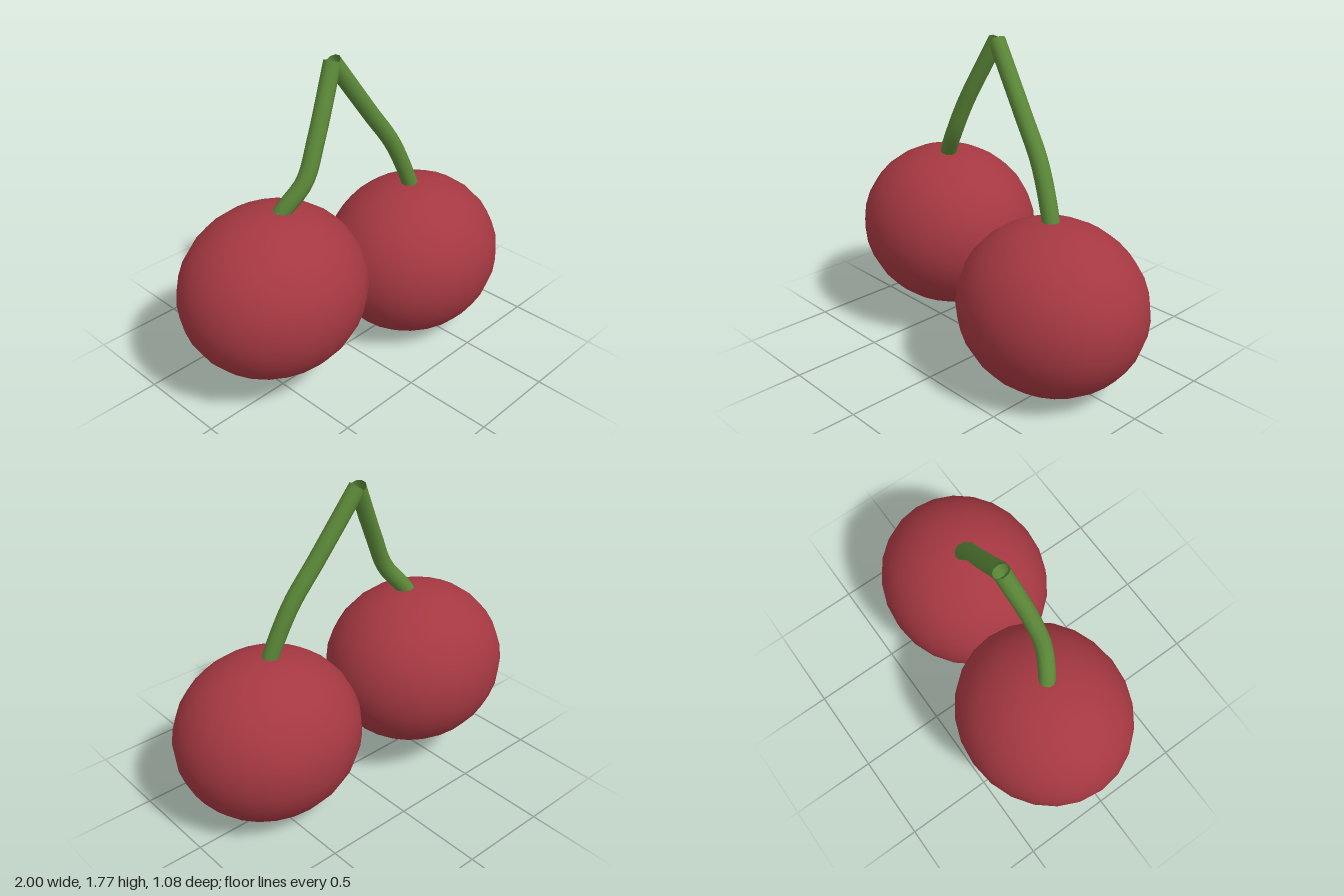
import * as THREE from 'three';

export function createModel() {
  const model = new THREE.Group();
  model.name = 'cherryPair';

  const red = new THREE.MeshStandardMaterial({ color: 0xa53841 });
  red.name = 'cherryRed';
  // stems are open at the tip, so both faces show
  const green = new THREE.MeshStandardMaterial({ color: 0x5b8838, side: THREE.DoubleSide });
  green.name = 'stemGreen';

  // fruit: slightly flattened spheres
  const fruitGeometry = new THREE.SphereGeometry(1, 24, 16);
  const addCherry = (name, x, y, z) => {
    const cherry = new THREE.Mesh(fruitGeometry, red);
    cherry.name = name;
    cherry.scale.set(0.523, 0.462, 0.477);
    cherry.position.set(x, y, z);
    model.add(cherry);
  };
  addCherry('rightCherry', -0.477, 0.6, -0.065);
  addCherry('leftCherry', 0.477, 0.463, 0.065);

  // stems: curved tubes meeting at the tip and sinking into the fruit
  const tip = [-0.052, 1.742, -0.045];
  const addStem = (name, points) => {
    const curve = new THREE.CatmullRomCurve3([tip, ...points].map(p => new THREE.Vector3(...p)));
    const stem = new THREE.Mesh(new THREE.TubeGeometry(curve, 20, 0.046, 10), green);
    stem.name = name;
    model.add(stem);
  };
  addStem('rightStem', [
    [-0.225, 1.4, 0.012],
    [-0.32, 1.2, 0.022],
    [-0.42, 1.065, -0.025],
    [-0.475, 0.96, -0.065],
  ]);
  addStem('leftStem', [
    [0.187, 1.4, -0.005],
    [0.333, 1.19, 0.023],
    [0.445, 0.93, 0.055],
    [0.475, 0.82, 0.065],
  ]);

  return model;
}
